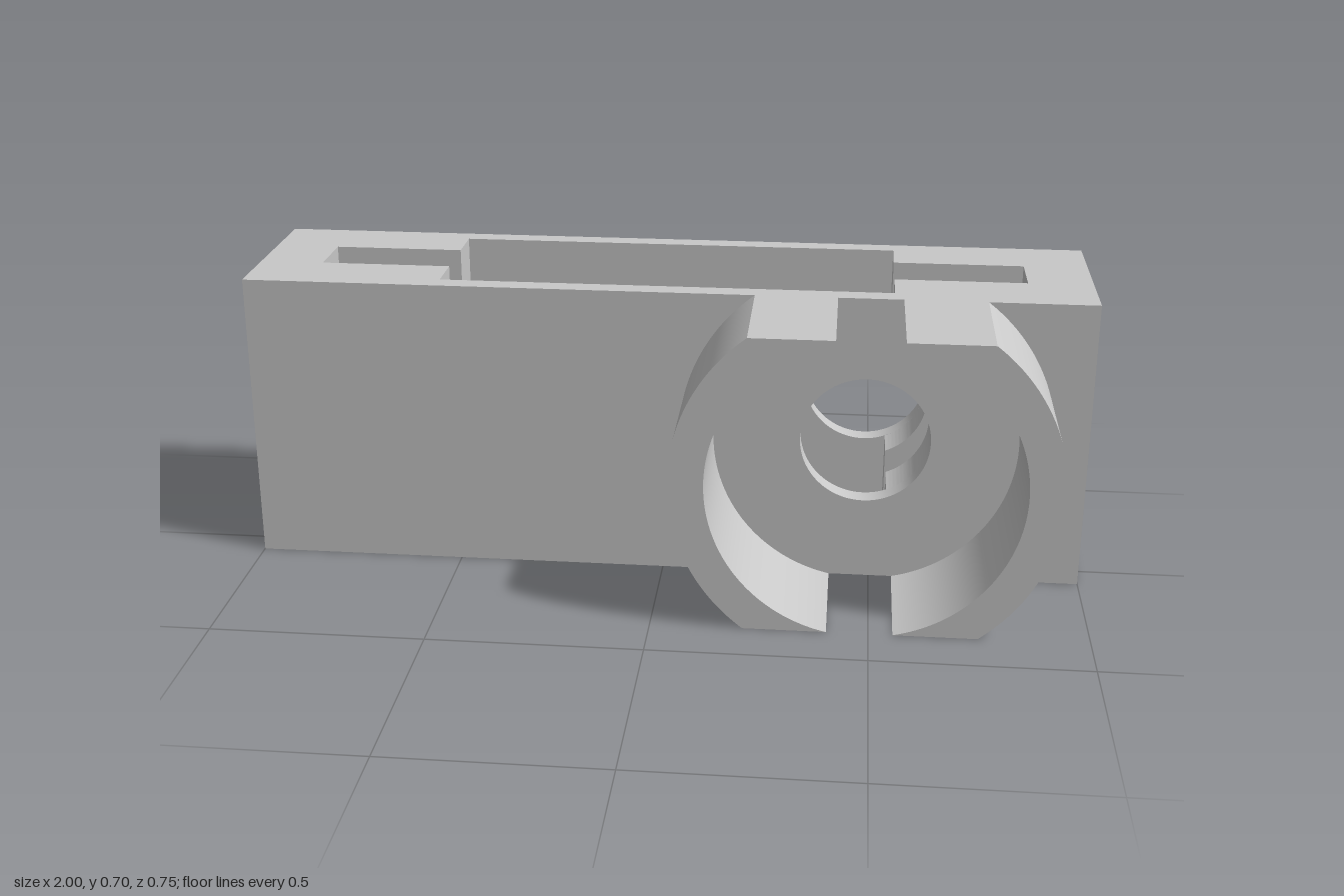
import * as THREE from 'three';
import { mergeGeometries, toCreasedNormals } from 'three/addons/utils/BufferGeometryUtils.js';

const H = 0.702, CX = 0.48, CY = H / 2;       // block height, bore centre
const BORE = 0.154, R_OUT = 0.441, R_IN = 0.359;
const STEP_L = -0.535, STEP_R = 0.535;        // ends of the wide cavity
const SLOT_L = -0.847, SLOT_R = 0.847;        // ends of the narrow slots
const Z = [-0.375, -0.328, -0.224, -0.086, 0.022, 0.07], Z_CLIP = 0.375;
const SEG = 36;

const tBore = Math.acos((STEP_R - CX) / BORE);
const tOut = Math.asin(CY / R_OUT), tIn = Math.asin(CY / R_IN);

// Outline from points [x, y] and arcs [radius, start, end, clockwise] about the bore centre;
// it begins with an arc or with two points
function outline(...items) {
  const s = new THREE.Shape();
  items.forEach((p, i) => {
    if (p.length === 2) i ? s.lineTo(...p) : s.moveTo(...p);
    else s.absarc(CX, CY, ...p);
  });
  s.closePath();
  return s;
}
const rect = (a, b) => outline([a, 0], [b, 0], [b, H], [a, H]);
function withBore(s) {
  s.holes.push(new THREE.Path().absarc(CX, CY, BORE, 0, Math.PI * 2, true));
  return s;
}

// Side walls only of an extruded outline
function sides(shape, z0, z1) {
  const e = new THREE.ExtrudeGeometry(shape, { depth: z1 - z0, bevelEnabled: false, curveSegments: SEG });
  const { start, count } = e.groups[1];
  const g = new THREE.BufferGeometry();
  g.setAttribute('position', new THREE.Float32BufferAttribute(
    e.attributes.position.array.slice(start * 3, (start + count) * 3), 3));
  return g.translate(0, 0, z0);
}

// Flat face at a depth, turned to the front (1) or the back (-1)
function face(shape, z, dir) {
  const f = new THREE.ShapeGeometry(shape, SEG);
  if (dir < 0) f.index.array.reverse();
  const g = f.toNonIndexed();
  g.deleteAttribute('uv');
  g.deleteAttribute('normal');
  return g.translate(0, 0, z);
}

function part(name, pieces, material) {
  const mesh = new THREE.Mesh(toCreasedNormals(mergeGeometries(pieces), 0.5), material);
  mesh.name = name;
  return mesh;
}

export function createModel() {
  const grey = new THREE.MeshStandardMaterial({ color: 0xc8c8c8 });
  grey.name = 'plain grey';
  const group = new THREE.Group();
  group.name = 'slottedClipBlock';

  const plate = withBore(rect(-1, 1));
  const bite = [BORE, tBore, -tBore, true];
  const stepBlock = (end) => outline([STEP_R, 0], [end, 0], [end, H], [STEP_R, H], bite);
  const cavityWall = outline([STEP_L, 0], [STEP_R, 0],
    [BORE, -tBore, tBore - Math.PI * 2, true], [STEP_R, H], [STEP_L, H]);

  // Front face, divided where the clip stands on it
  const frontLeft = outline([-1, H], [-1, 0], [R_OUT, Math.PI + tOut, Math.PI - tOut, true]);
  const frontRight = outline([1, 0], [1, H], [R_OUT, tOut, -tOut, true]);
  const clipFloor = withBore(outline([R_IN, -tIn, tIn, false], [R_IN, Math.PI - tIn, Math.PI + tIn, false]));

  const body = [
    // front and back plates
    sides(plate, Z[0], Z[1]), sides(plate, Z[4], Z[5]), face(plate, Z[0], -1),
    ...[frontLeft, frontRight, clipFloor].map((s) => face(s, Z[5], 1)),
    // narrow slot ends
    sides(rect(-1, SLOT_L), Z[2], Z[3]), sides(rect(SLOT_R, 1), Z[2], Z[3]),
  ];
  // stepped blocks on both sides of the slots
  for (const [z0, z1] of [[Z[1], Z[2]], [Z[3], Z[4]]]) {
    body.push(sides(rect(-1, STEP_L), z0, z1), sides(stepBlock(1), z0, z1));
  }
  // faces looking into the cavity
  for (const [zWall, zStep, dir] of [[Z[1], Z[2], 1], [Z[4], Z[3], -1]]) {
    body.push(face(cavityWall, zWall, dir),
      face(rect(SLOT_L, STEP_L), zStep, dir), face(stepBlock(SLOT_R), zStep, dir));
  }
  group.add(part('slottedBody', body, grey));

  // Two curved jaws, cut flat at top and bottom
  for (const [name, a] of [['leftClipJaw', 0], ['rightClipJaw', Math.PI]]) {
    const jaw = outline([R_OUT, a - tOut, a + tOut, false], [R_IN, a + tIn, a - tIn, true]);
    group.add(part(name, [sides(jaw, Z[5], Z_CLIP), face(jaw, Z_CLIP, 1)], grey));
  }
  return group;
}
